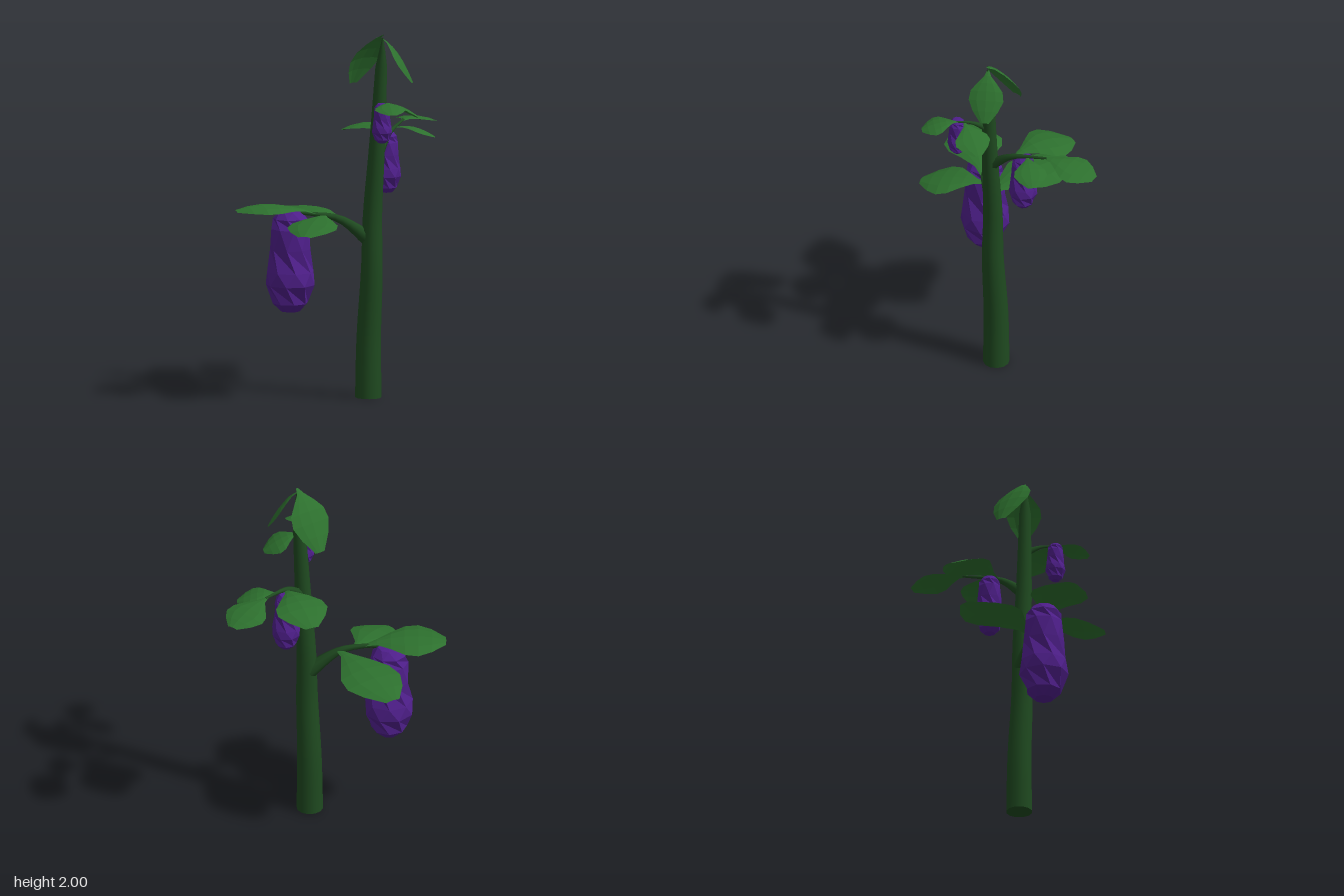
import * as THREE from 'three';

const V = (a) => new THREE.Vector3(...a);
const stemMat = new THREE.MeshStandardMaterial({ color: 0x1f4a20 });
const leafMat = new THREE.MeshStandardMaterial({ color: 0x2d702e, flatShading: true, side: THREE.DoubleSide });
const fruitMat = new THREE.MeshStandardMaterial({ color: 0x4f1f8b, flatShading: true });

// Tube along points; radiusAt(t) gives its radius from start (0) to end (1)
function taperedTube(name, points, radiusAt, steps, sides) {
  const curve = new THREE.CatmullRomCurve3(points.map(V));
  const geo = new THREE.TubeGeometry(curve, steps, 1, sides);
  const pos = geo.attributes.position, p = new THREE.Vector3();
  for (let n = 0; n < pos.count; n++) {
    const t = Math.floor(n / (sides + 1)) / steps;
    const c = curve.getPointAt(t);
    p.fromBufferAttribute(pos, n).sub(c).multiplyScalar(radiusAt(t)).add(c);
    pos.setXYZ(n, p.x, p.y, p.z);
  }
  const mesh = new THREE.Mesh(geo, stemMat);
  mesh.name = name;
  return mesh;
}

// Leaf blade: narrow at the base, widest past the middle, arched by lift, sides bent down
const BLADE = [0.05, 0.2, 0.56, 0.92, 1, 0.74, 0.25];
const ACROSS = [-1, -0.55, 0, 0.55, 1];
function leaf(base, tip, lift, width) {
  const a = V(base), b = V(tip), mid = a.clone().lerp(b, 0.5);
  mid.y += lift;
  const curve = new THREE.QuadraticBezierCurve3(a, mid, b);
  const side = b.clone().sub(a).cross(new THREE.Vector3(0, 1, 0)).normalize();
  const verts = [], index = [], n = ACROSS.length;
  BLADE.forEach((w, i) => {
    const t = i / (BLADE.length - 1), h = w * width / 2;
    const c = curve.getPoint(t), normal = side.clone().cross(curve.getTangent(t));
    ACROSS.forEach((s, j) => {
      const p = c.clone().addScaledVector(side, s * h).addScaledVector(normal, -0.18 * h * s * s);
      verts.push(p.x, p.y, p.z);
      if (i && j) {
        const q = i * n + j;
        index.push(q - n - 1, q - n, q, q - n - 1, q, q - 1);
      }
    });
  });
  const geo = new THREE.BufferGeometry();
  geo.setAttribute('position', new THREE.Float32BufferAttribute(verts, 3));
  geo.setIndex(index);
  geo.computeVertexNormals();
  const mesh = new THREE.Mesh(geo, leafMat);
  mesh.name = 'leaf';
  return mesh;
}

// Faceted hanging fruit; profile is radius and height as fractions
const FRUIT = [[0, 0], [0.4, 0.01], [0.74, 0.09], [1.02, 0.27], [0.98, 0.4],
  [0.84, 0.62], [0.8, 0.82], [0.72, 0.92], [0.45, 0.99], [0, 1]];
function fruit(x, z, bottom, top, radius) {
  const profile = FRUIT.map(([r, h]) => new THREE.Vector2(r * radius, h * (top - bottom)));
  const geo = new THREE.LatheGeometry(profile, 8);
  // Stagger every second ring for diamond-like facets
  const pos = geo.attributes.position, p = new THREE.Vector3(), up = new THREE.Vector3(0, 1, 0);
  for (let i = 0; i < pos.count; i++) {
    if (i % FRUIT.length % 2) continue;
    p.fromBufferAttribute(pos, i).applyAxisAngle(up, Math.PI / 8);
    pos.setXYZ(i, p.x, p.y, p.z);
  }
  geo.computeVertexNormals();
  const mesh = new THREE.Mesh(geo, fruitMat);
  mesh.name = 'fruit';
  mesh.position.set(x, bottom, z);
  return mesh;
}

// Twig thinning quickly from its root, with whatever grows on it
function branch(name, path, rootRadius, ...grown) {
  const group = new THREE.Group();
  group.name = name;
  group.add(taperedTube('twig', path, (t) => rootRadius * (0.2 + 0.8 * (1 - t) ** 2), 10, 8), ...grown);
  return group;
}

export function createModel() {
  const plant = new THREE.Group();
  plant.name = 'fruitingPlant';

  // Main stem, pointed at the top, with a closed foot
  plant.add(taperedTube('stem',
    [[0.097, 0, -0.062], [0.1, 0.33, -0.063], [0.123, 0.7, -0.067], [0.125, 1, -0.07],
      [0.15, 1.36, -0.08], [0.18, 1.985, -0.1]],
    (t) => (0.072 - 0.044 * t ** 1.2) * Math.min(1, 12 * (1 - t) + 0.1), 24, 12));
  const foot = new THREE.Mesh(new THREE.CircleGeometry(0.072, 12), stemMat);
  foot.name = 'stemFoot';
  foot.rotation.x = Math.PI / 2;
  foot.position.set(0.097, 0.001, -0.062);
  plant.add(foot);

  // Three side branches, smaller towards the top
  plant.add(branch('lowerBranch',
    [[0.11, 0.87, -0.06], [0.05, 0.99, 0.1], [-0.01, 1.02, 0.23], [-0.08, 1.03, 0.32]], 0.047,
    leaf([0.07, 0.99, 0.085], [-0.52, 0.98, 0.16], 0.075, 0.33),
    leaf([0, 1.02, 0.21], [-0.18, 1.055, 0.625], 0.08, 0.32),
    leaf([0.01, 1.01, 0.16], [0.235, 0.95, 0.465], 0.06, 0.28),
    fruit(-0.09, 0.325, 0.48, 1.04, 0.132)));
  plant.add(branch('middleBranch',
    [[0.15, 1.33, -0.08], [0.09, 1.43, -0.2], [-0.02, 1.48, -0.38]], 0.036,
    leaf([-0.01, 1.475, -0.36], [-0.16, 1.44, -0.635], 0.05, 0.24),
    leaf([0.09, 1.43, -0.21], [-0.295, 1.41, -0.22], 0.1, 0.29),
    leaf([0.04, 1.455, -0.28], [0.14, 1.4, -0.475], 0.05, 0.18),
    fruit(0.035, -0.23, 1.1, 1.44, 0.077)));
  plant.add(branch('upperBranch',
    [[0.165, 1.58, -0.09], [0.25, 1.63, -0.05], [0.33, 1.65, -0.02]], 0.025,
    leaf([0.32, 1.65, -0.025], [0.5, 1.615, 0.065], 0.04, 0.17),
    leaf([0.29, 1.64, -0.04], [0.33, 1.55, -0.235], 0.045, 0.2),
    fruit(0.31, 0, 1.43, 1.65, 0.054)));

  // Drooping pair at the top
  const crown = new THREE.Group();
  crown.name = 'topLeaves';
  crown.add(leaf([0.185, 2, -0.1], [-0.045, 1.71, -0.06], 0.11, 0.23));
  crown.add(leaf([0.175, 1.98, -0.1], [0.285, 1.74, -0.225], 0.07, 0.19));
  plant.add(crown);
  return plant;
}
